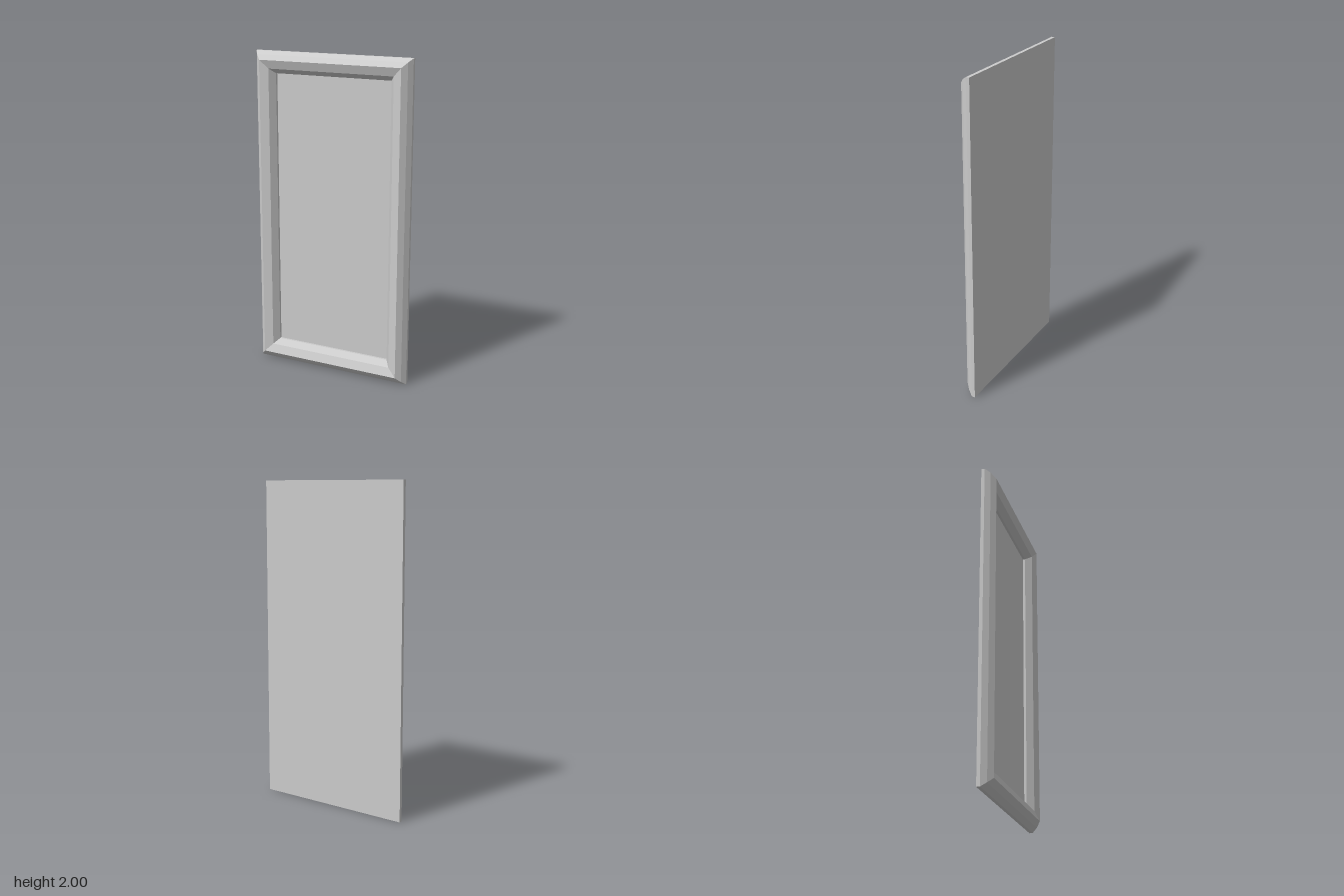
import * as THREE from 'three';

const HALF_WIDTH = 0.512, HEIGHT = 2, BACK = -0.041;
const material = new THREE.MeshStandardMaterial({ color: 0xcccccc, flatShading: true });

// Moulding cross-section: [inset from the outer edge, z], back edge round to back edge
const PROFILE = [
  [0, BACK], [0, -0.02], [0.021, 0.012], [0.051, 0.04],
  [0.103, 0.02], [0.133, -0.02], [0.133, BACK], [0, BACK],
];

// Four mitred corners, counter-clockwise from the front
function corners([inset, z]) {
  const x = HALF_WIDTH - inset, top = HEIGHT - inset;
  const bottom = inset + Math.min(inset, 0.005);
  return [[-x, bottom, z], [x, bottom, z], [x, top, z], [-x, top, z]];
}

// Sweeps the profile around the rectangle with mitred corners
function mouldingGeometry() {
  const positions = [];
  for (let k = 0; k < PROFILE.length - 1; k++) {
    const a = corners(PROFILE[k]), b = corners(PROFILE[k + 1]);
    for (let i = 0; i < 4; i++) {
      const j = (i + 1) % 4;
      positions.push(...a[i], ...a[j], ...b[j], ...a[i], ...b[j], ...b[i]);
    }
  }
  const geometry = new THREE.BufferGeometry();
  geometry.setAttribute('position', new THREE.Float32BufferAttribute(positions, 3));
  geometry.computeVertexNormals();
  return geometry;
}

export function createModel() {
  const group = new THREE.Group();
  group.name = 'framedPanel';

  // Mitred frame
  const frame = new THREE.Mesh(mouldingGeometry(), material);
  frame.name = 'frame';
  group.add(frame);

  // Recessed panel, flush with the back of the frame
  const [low, , high] = corners([0.133, BACK]);
  const depth = 0.006;
  const panel = new THREE.Mesh(
    new THREE.BoxGeometry(high[0] - low[0], high[1] - low[1], depth), material);
  panel.position.set(0, (low[1] + high[1]) / 2, BACK + depth / 2);
  panel.name = 'panel';
  group.add(panel);

  return group;
}
